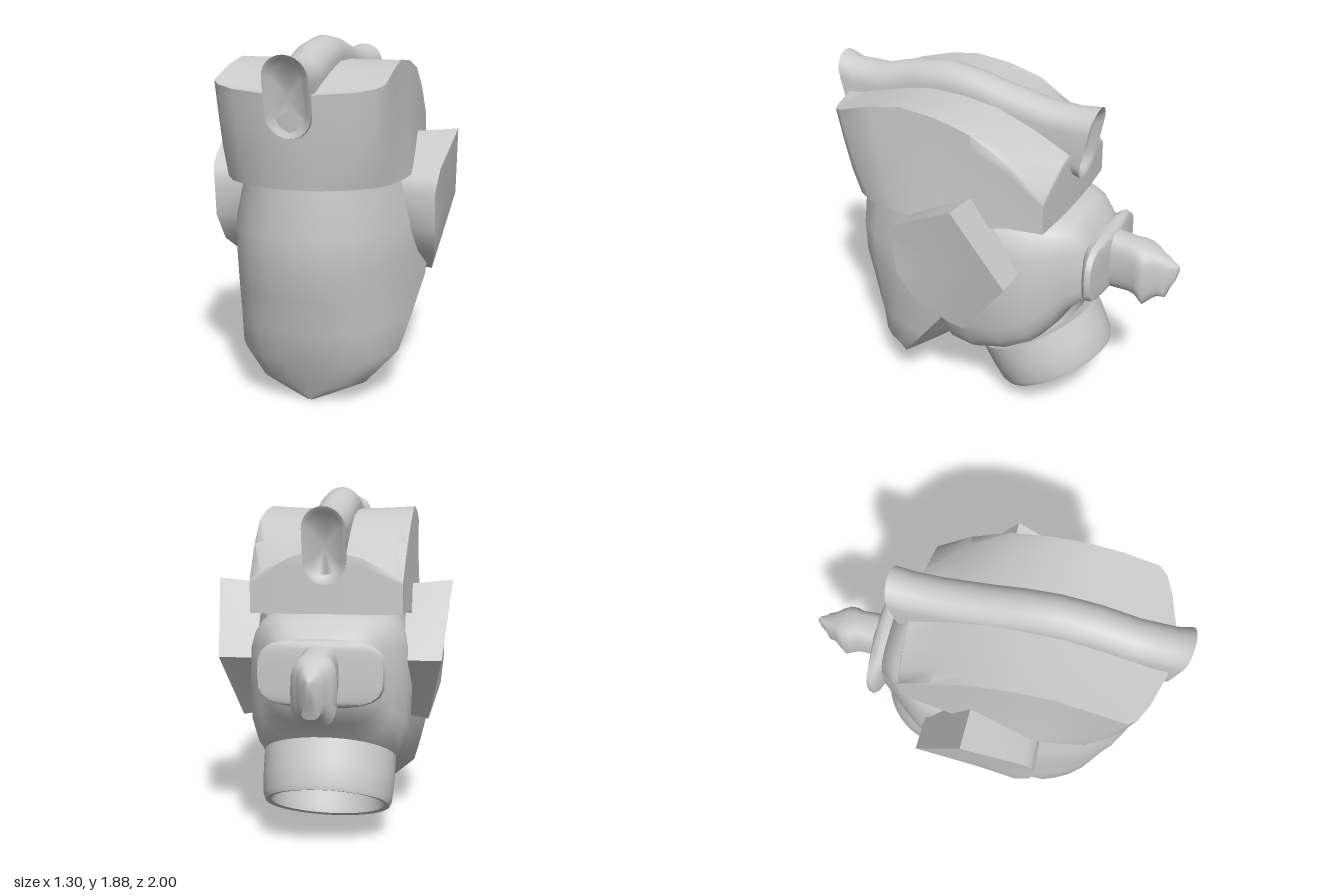
import * as THREE from 'three';
import { toCreasedNormals } from 'three/addons/utils/BufferGeometryUtils.js';

const material = new THREE.MeshStandardMaterial({ color: 0xcccccc });
const { lerp } = THREE.MathUtils;

function meshFrom(tris, name, crease) {
  const g = new THREE.BufferGeometry();
  g.setAttribute('position', new THREE.Float32BufferAttribute(tris.flat(2), 3));
  const mesh = new THREE.Mesh(toCreasedNormals(g, crease), material);
  mesh.name = name;
  return mesh;
}

// Mirror a half section (centre line, +x side, centre line) into a full ring.
const mirror = (half) => [...half, ...half.slice(1, -1).reverse().map(([x, y, z]) => [-x, y, z])];

// Skin a row of half sections and close both ends.
function loft(name, halves, crease) {
  const rings = halves.map(mirror);
  const tris = [];
  const add = (a, b, c) => {
    const [p, q, r] = [a, b, c].map((v) => new THREE.Vector3(...v));
    if (q.sub(p).cross(r.sub(p)).length() > 1e-8) tris.push([a, b, c]);
  };
  const n = rings[0].length;
  for (let r = 0; r < rings.length - 1; r++) {
    for (let i = 0; i < n; i++) {
      const j = (i + 1) % n, a = rings[r], b = rings[r + 1];
      add(a[i], a[j], b[j]);
      add(a[i], b[j], b[i]);
    }
  }
  const centre = (ring) => [0, 1, 2].map((k) => ring.reduce((s, p) => s + p[k], 0) / n);
  const first = rings[0], last = rings[rings.length - 1];
  for (let i = 0; i < n; i++) {
    const j = (i + 1) % n;
    add(centre(first), first[j], first[i]);
    add(centre(last), last[i], last[j]);
  }
  return meshFrom(tris, name, crease);
}

// Half of a rounded section in the x-y plane; a lower power is squarer.
function roundHalf(z, top, bottom, w, power, steps = 12) {
  return Array.from({ length: steps + 1 }, (_, i) => {
    const t = (i / steps) * Math.PI, c = Math.cos(t);
    const x = i === 0 || i === steps ? 0 : w * Math.sin(t) ** power;
    const y = (top + bottom) / 2 + ((top - bottom) / 2) * Math.sign(c) * Math.abs(c) ** power;
    return [x, y, z];
  });
}

// Pill-shaped half section between a top and a bottom point.
function pillHalf([zt, yt, zb, yb, w]) {
  const pts = [];
  const h = yt - yb, k = Math.min(w / h, 0.5);
  const put = (x, t) => pts.push([x, yt - t * h, lerp(zt, zb, t)]);
  for (let i = 0; i <= 6; i++) {
    const a = (i / 12) * Math.PI;
    put(i ? w * Math.sin(a) : 0, k * (1 - Math.cos(a)));
  }
  for (let i = 6; i >= 0; i--) {
    const a = (i / 12) * Math.PI;
    put(i ? w * Math.sin(a) : 0, 1 - k * (1 - Math.cos(a)));
  }
  return pts;
}

function createFaceMask() {
  // height, front z, edge half-width, edge z, back z
  const rows = [
    [0.0, 0.61, 0.02, 0.6, 0.58], [0.05, 0.635, 0.14, 0.585, 0.5],
    [0.1, 0.655, 0.28, 0.54, 0.43], [0.25, 0.735, 0.43, 0.43, 0.22],
    [0.42, 0.78, 0.475, 0.3, 0.16], [0.6, 0.82, 0.515, 0.16, 0.1],
    [0.75, 0.86, 0.525, 0.12, 0.05], [0.93, 0.867, 0.525, 0.1, 0.05], [1.25, 0.84, 0.46, 0.05, 0],
  ];
  return loft('faceMask', rows.map(([y, f, w, e, b]) => {
    const d = f - e;
    return [
      [0, y, f], [w * 0.28, y, f - d * 0.03], [w * 0.52, y, f - d * 0.13], [w * 0.7, y, f - d * 0.29],
      [w * 0.84, y, f - d * 0.52], [w * 0.94, y, f - d * 0.78], [w, y, e],
      [w * 0.55, y, (e + b) / 2], [0, y, b],
    ];
  }), 0.85);
}

function createHelmet() {
  // rim x, z, y; crown y on the centre line; lower edge x, z
  const rows = [
    [0, 0.92, 1.64, 1.64, 0, 0.86], [0.12, 0.915, 1.64, 1.64, 0.12, 0.85], [0.3, 0.86, 1.65, 1.64, 0.27, 0.79],
    [0.39, 0.815, 1.665, 1.65, 0.365, 0.71], [0.425, 0.77, 1.68, 1.665, 0.425, 0.61],
    [0.425, 0.58, 1.735, 1.715, 0.455, 0.46], [0.42, 0.4, 1.765, 1.75, 0.47, 0.3],
    [0.42, 0.2, 1.745, 1.745, 0.46, 0.15], [0.42, 0, 1.69, 1.715, 0.44, 0],
    [0.41, -0.2, 1.57, 1.64, 0.425, -0.2], [0.4, -0.39, 1.39, 1.55, 0.4, -0.39],
    [0.2, -0.405, 1.5, 1.55, 0.2, -0.405], [0, -0.41, 1.55, 1.55, 0, -0.41],
  ];
  const wall = (t) => rows.map(([x, z, y, , bx, bz]) => {
    const k = t ** 0.75;
    return [lerp(bx, x, k), lerp(bz < -0.15 ? 1.215 : 1.175, y, t), lerp(bz, z, k)];
  });
  const crown = (s) => rows.map(([x, z, y, c]) => [x * s, lerp(c, y, s * s), z]);
  return loft('helmet', [
    ...[0, 0.3, 0.6, 0.85, 1].map(wall), ...[0.85, 0.55, 0.25, 0].map(crown),
  ], 1.25);
}

function createCrest() {
  // top z, top y, bottom z, bottom y, half-width; ends are recessed
  return loft('crest', [
    [0.955, 1.785, 0.895, 1.475, 0.07], [0.985, 1.81, 0.905, 1.45, 0.09], [1.0, 1.83, 0.91, 1.43, 0.112],
    [0.92, 1.8, 0.86, 1.42, 0.108], [0.73, 1.8, 0.73, 1.45, 0.108], [0.53, 1.855, 0.53, 1.5, 0.108],
    [0.33, 1.875, 0.33, 1.5, 0.108], [0.15, 1.85, 0.15, 1.5, 0.108], [0, 1.812, 0, 1.5, 0.108],
    [-0.25, 1.765, -0.25, 1.42, 0.108], [-0.4, 1.758, -0.38, 1.39, 0.108], [-0.52, 1.77, -0.44, 1.37, 0.112],
    [-0.505, 1.745, -0.435, 1.4, 0.09], [-0.475, 1.72, -0.41, 1.42, 0.07],
  ].map(pillHalf), 1.1);
}

function createSkull() {
  // z, top, bottom, half-width
  return loft('skull', [
    [0.3, 1.25, 0.27, 0.3], [0.2, 1.25, 0.26, 0.38], [0.05, 1.25, 0.27, 0.43], [-0.15, 1.24, 0.33, 0.44],
    [-0.3, 1.24, 0.42, 0.42], [-0.4, 1.22, 0.54, 0.36], [-0.47, 1.2, 0.65, 0.31], [-0.56, 1.11, 0.74, 0.24],
  ].map(([z, t, b, w]) => roundHalf(z, t, b, w, 0.55)), 0.9);
}

function createRearNozzle() {
  const group = new THREE.Group();
  group.name = 'rearNozzle';
  group.add(loft('flange', [
    [-0.53, 1.1, 0.75, 0.18], [-0.575, 1.1, 0.76, 0.31], [-0.595, 1.11, 0.76, 0.33],
    [-0.625, 1.1, 0.77, 0.32], [-0.645, 1.08, 0.78, 0.12],
  ].map(([z, t, b, w]) => roundHalf(z, t, b, w, 0.6)), 0.8));
  group.add(loft('stub', [
    [-0.6, 1.09, 0.77, 0.1], [-0.75, 1.07, 0.765, 0.095], [-0.79, 1.065, 0.755, 0.11],
    [-0.83, 1.055, 0.71, 0.115], [-0.87, 1.04, 0.75, 0.09], [-0.9, 1.02, 0.77, 0.065],
    [-0.94, 1.0, 0.77, 0.055], [-0.96, 0.985, 0.83, 0.035], [-0.985, 0.975, 0.88, 0.022], [-1, 0.965, 0.935, 0.006],
  ].map(([z, t, b, w]) => roundHalf(z, t, b, w, 0.65)), 0.9));
  return group;
}

function createNeckRing() {
  const profile = [
    [0.3, 0.13], [0.3, -0.1], [0.305, -0.135], [0.335, -0.14], [0.348, -0.11], [0.357, 0], [0.36, 0.13], [0.3, 0.13],
  ].map(([r, y]) => new THREE.Vector2(r, y));
  const mesh = new THREE.Mesh(toCreasedNormals(new THREE.LatheGeometry(profile, 40), 1.2), material);
  mesh.name = 'neckRing';
  mesh.position.set(0, 0.305, -0.26);
  mesh.rotation.x = 0.49;
  return mesh;
}

function createEar(side) {
  // outer x, y, z around the plate
  const outline = [
    [0.65, 1.37, 0], [0.6, 0.96, -0.27], [0.525, 0.59, 0.01], [0.535, 0.61, 0.09], [0.585, 0.75, 0.28],
    [0.6, 0.9, 0.365], [0.6, 1.09, 0.38], [0.61, 1.16, 0.365], [0.615, 1.21, 0.32],
  ];
  const tris = [];
  const face = (...p) => {
    const t = p.map(([x, y, z]) => [x * side, y, z]);
    tris.push(side > 0 ? t : t.reverse());
  };
  const inner = ([, y, z]) => [0.4, y - (y - 0.95) * 0.06, z * 0.98];
  outline.forEach((a, i) => {
    const b = outline[(i + 1) % outline.length], c = inner(a), d = inner(b);
    face([0.6, 0.98, 0.06], b, a);
    face(a, b, d);
    face(a, d, c);
    face([0.4, 0.98, 0.06], c, d);
  });
  return meshFrom(tris, side > 0 ? 'leftEar' : 'rightEar', 0.7);
}

export function createModel() {
  const model = new THREE.Group();
  model.name = 'helmetedHead';
  model.add(createFaceMask(), createHelmet(), createCrest(), createSkull(), createRearNozzle(), createNeckRing());
  for (const side of [1, -1]) model.add(createEar(side));
  return model;
}
